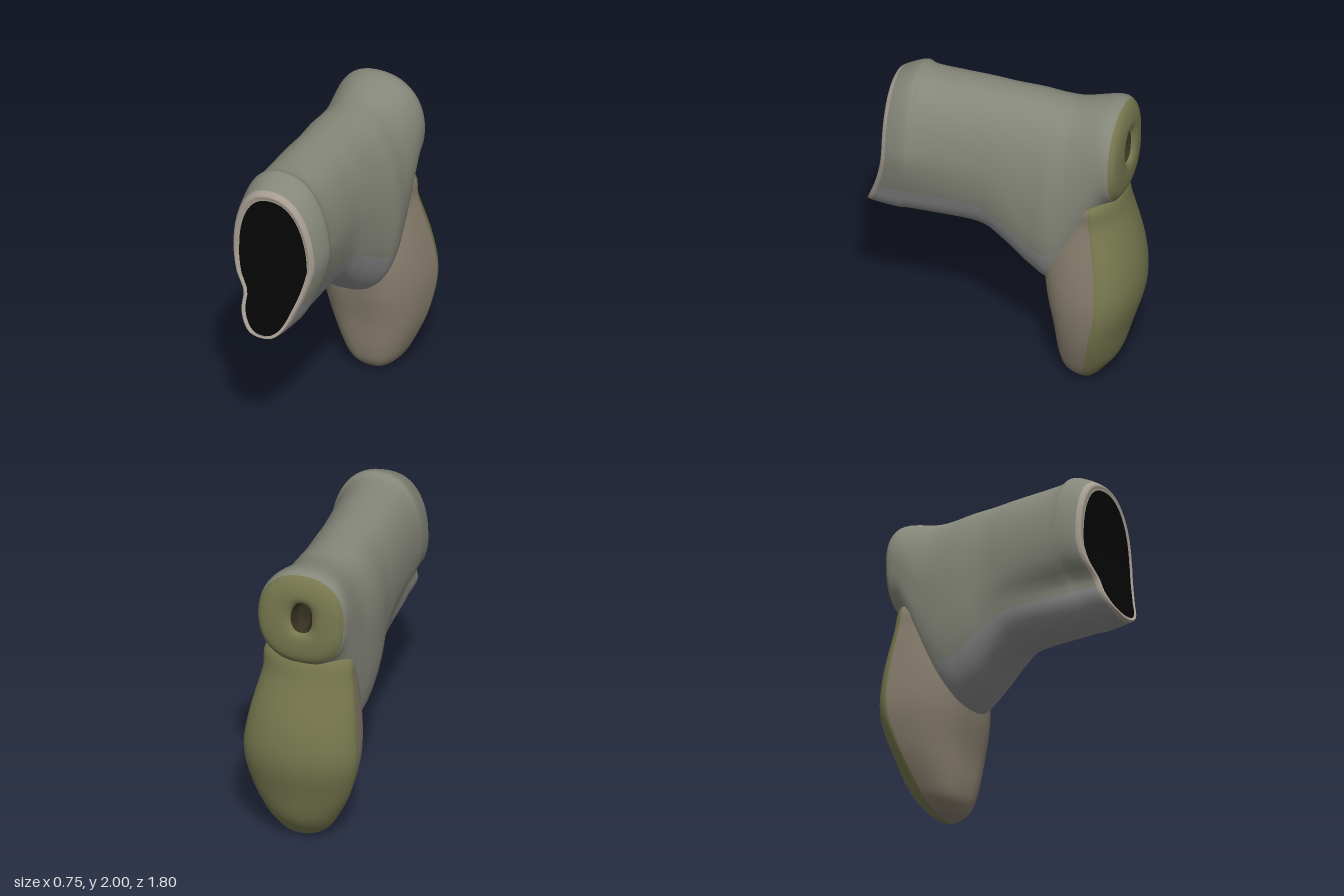
import * as THREE from 'three';

const { clamp } = THREE.MathUtils;
const STEPS = 6;
const paint = (color) => new THREE.MeshStandardMaterial({ color });

// Smooth interpolation through a list of stations
function refine(rows) {
  const at = (i) => rows[clamp(i, 0, rows.length - 1)];
  return Array.from({ length: (rows.length - 1) * STEPS + 1 }, (_, r) => {
    const i = Math.floor(r / STEPS), t = (r % STEPS) / STEPS;
    return rows[i].map((b, k) => {
      const a = at(i - 1)[k], c = at(i + 1)[k], d = at(i + 2)[k];
      return b + 0.5 * t * (c - a + t * (2 * a - 5 * b + 4 * c - d + t * (3 * (b - c) + d - a)));
    });
  });
}

// Closed section in the -1..1 square; a smaller power makes that half boxier
function section(n, upperPower, lowerPower) {
  return Array.from({ length: n }, (_, j) => {
    const a = (j / n) * Math.PI * 2;
    const power = j < n / 2 ? upperPower : lowerPower;
    return [Math.cos(a), Math.sin(a)].map((v) => Math.sign(v) * Math.abs(v) ** power);
  });
}

// Skin closed rings; pick(row, column) chooses the material of each quad
function loft(name, rings, materials, pick) {
  const n = rings[0].length;
  const lists = materials.map(() => []);
  for (let i = 0; i < rings.length - 1; i++) {
    for (let j = 0; j < n; j++) {
      const a = i * n + j, b = i * n + (j + 1) % n;
      lists[pick(i, j)].push(a, a + n, b, b, a + n, b + n);
    }
  }
  const geometry = new THREE.BufferGeometry().setFromPoints(rings.flat());
  geometry.setIndex(lists.flat());
  let start = 0;
  lists.forEach((list, m) => {
    geometry.addGroup(start, list.length, m);
    start += list.length;
  });
  geometry.computeVertexNormals();
  const mesh = new THREE.Mesh(geometry, materials);
  mesh.name = name;
  return mesh;
}

// Station of an oval around a centre: z, bottom, top, min x, max x
const oval = (z, x, y, w, h) => [z, y - h, y + h, x - w, x + w];

function makeBarrel() {
  const outline = section(64, 0.88, 0.84);
  const stations = refine([
    // black mouth
    ...[0, 0.5, 0.9, 1].map((s) => oval(0.744, -0.025, 1.412, 0.24 * s, 0.448 * s)),
    // tube from the front collar to the rear head
    [0.735, 0.945, 1.9, -0.305, 0.245],
    [0.59, 0.94, 1.978, -0.325, 0.285],
    [0.5, 0.943, 1.953, -0.325, 0.265],
    [0.16, 0.945, 1.947, -0.325, 0.245],
    [-0.01, 0.86, 1.946, -0.325, 0.255],
    [-0.19, 0.715, 1.945, -0.345, 0.275],
    [-0.34, 0.65, 1.943, -0.345, 0.3],
    [-0.47, 0.78, 1.952, -0.335, 0.29],
    [-0.67, 1.26, 2, -0.32, 0.28],
    [-0.755, 1.35, 1.985, -0.3, 0.265],
    [-0.795, 1.42, 1.92, -0.245, 0.215],
    // rear face and its dimple
    oval(-0.805, -0.03, 1.69, 0.12, 0.15),
    oval(-0.77, -0.03, 1.69, 0.065, 0.1),
    oval(-0.7, -0.03, 1.69, 0.045, 0.07),
    oval(-0.69, -0.03, 1.69, 0, 0),
  ]);
  const rings = stations.map(([z, y0, y1, x0, x1]) => outline.map(([u, v]) => {
    // towards the front the lower half narrows, with a notch in its -x side
    const front = clamp((z + 0.1) / 0.7, 0, 1);
    const narrow = 1 - 0.2 * front * clamp(-1.6 * v, 0, 1);
    const notch = 0.16 * front * Math.max(0, -u) * Math.exp(-(((v + 0.47) / 0.16) ** 2));
    // the top leans a little to -x
    const side = u * narrow + notch - 0.08 * Math.max(0, v);
    const x = (x0 + x1 + side * (x1 - x0)) / 2;
    const y = (y0 + y1 + v * (y1 - y0)) / 2;
    // the lower lip reaches forward
    const lean = 0.155 * clamp((z - 0.3) / 0.4, 0, 1) * clamp((1.45 - y) / 0.48, 0, 1) ** 1.5;
    return new THREE.Vector3(x, y, z + lean);
  }));
  // black mouth, pale rim, grey tube, lighter underside, olive head, dark dimple
  const colors = [0x050505, 0xa59c90, 0x85877a, 0x8b8b8b, 0x77784f, 0x35301f];
  return loft('barrel', rings, colors.map(paint), (i, j) => {
    const s = i / STEPS;
    if (s < 2.8) return 0;
    if (s < 4.1) return 1;
    if (s < 13) return s < 11 && outline[j][1] < -0.56 ? 3 : 2;
    return s < 15.7 ? 4 : 5;
  });
}

function makeGrip() {
  // flat front half, ridged back half
  const outline = section(48, 0.72, 1.08);
  // Stations: height, min x, max x, front z, widest z, back z
  const stations = refine([
    [0, 0.04, 0.04, -0.55, -0.55, -0.55],
    [0.015, -0.05, 0.13, -0.46, -0.56, -0.61],
    [0.08, -0.14, 0.205, -0.4, -0.57, -0.675],
    [0.2, -0.215, 0.27, -0.37, -0.6, -0.76],
    [0.4, -0.308, 0.343, -0.345, -0.65, -0.825],
    [0.65, -0.373, 0.377, -0.295, -0.7, -0.892],
    [0.9, -0.367, 0.345, -0.28, -0.69, -0.878],
    [1.2, -0.33, 0.275, -0.35, -0.64, -0.795],
    [1.38, -0.285, 0.245, -0.4, -0.62, -0.745],
    [1.5, -0.03, -0.03, -0.6, -0.6, -0.6],
  ]);
  const rings = stations.map(([y, x0, x1, zFront, zWide, zBack]) => outline.map(([u, v]) => {
    const reach = v > 0 ? zFront - zWide : zWide - zBack;
    // the front half tapers towards its face
    const taper = 1 - 0.14 * Math.max(0, v);
    return new THREE.Vector3((x0 + x1 + u * taper * (x1 - x0)) / 2, y, zWide + v * reach);
  }));
  // tan front, olive back
  return loft('grip', rings, [paint(0x877d6d), paint(0x77784f)], (i, j) => (j < outline.length / 2 ? 0 : 1));
}

export function createModel() {
  const group = new THREE.Group();
  group.name = 'grippedTube';
  group.add(makeBarrel(), makeGrip());
  return group;
}
